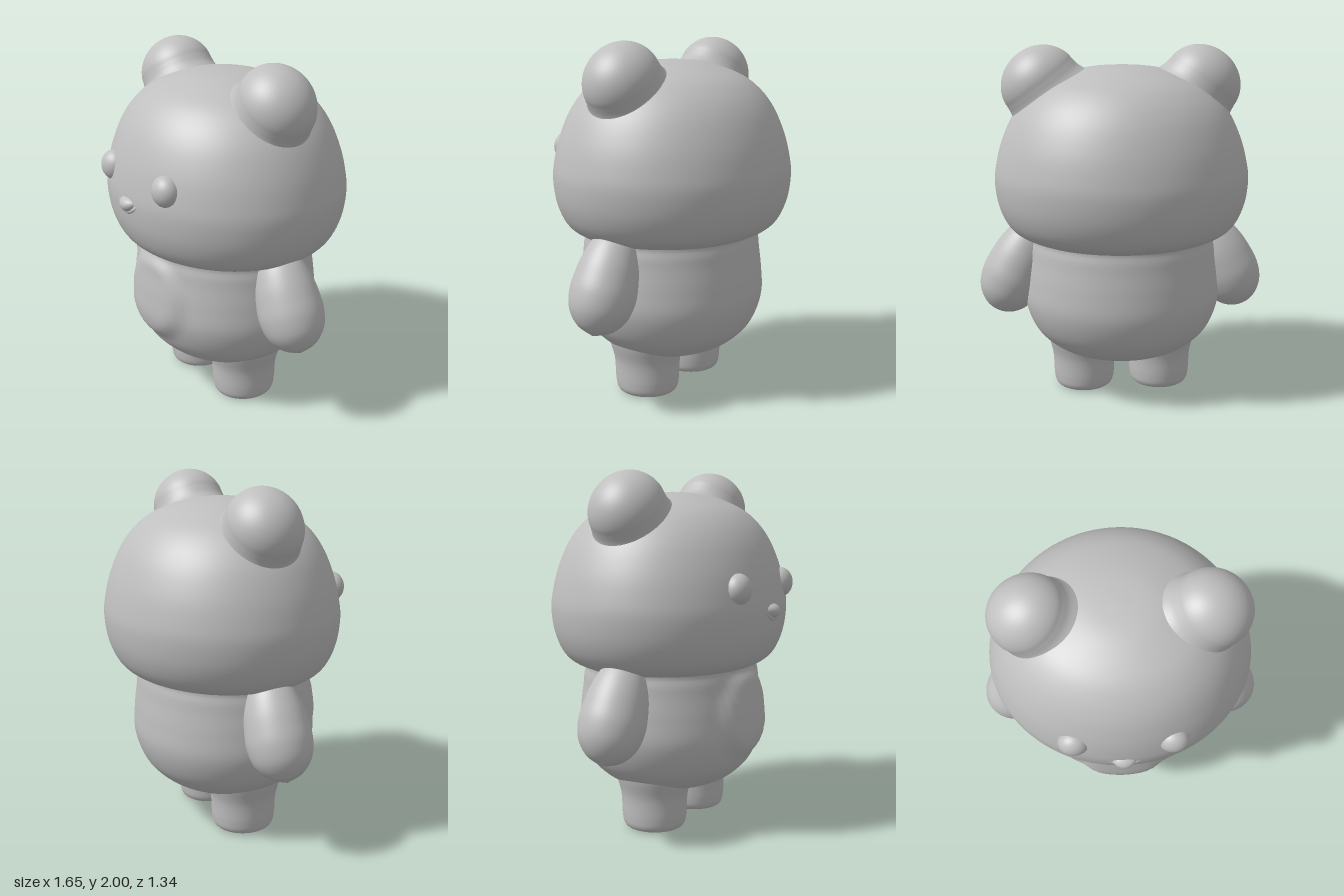
import * as THREE from 'three';
import { mergeVertices } from 'three/addons/utils/BufferGeometryUtils.js';

// Smooth solid of revolution; profile runs bottom to top, rule bends each vertex.
function turned(profile, rule, steps = 64) {
  const curve = new THREE.SplineCurve(profile.map(([r, y]) => new THREE.Vector2(r, y)));
  const points = curve.getPoints(steps);
  points.forEach((p) => { p.x = Math.max(p.x, 0); });
  return bend(new THREE.LatheGeometry(points, 96), rule);
}

// Move vertices by a rule and rebuild seamless smooth normals.
function bend(geometry, rule) {
  const pos = geometry.attributes.position;
  const v = new THREE.Vector3();
  for (let i = 0; i < pos.count; i++) {
    v.fromBufferAttribute(pos, i);
    if (rule) rule(v);
    pos.setXYZ(i, v.x, v.y, v.z);
  }
  geometry.deleteAttribute('uv');
  geometry.deleteAttribute('normal');
  const merged = mergeVertices(geometry, 1e-4);
  merged.computeVertexNormals();
  return merged;
}

export function createModel() {
  const group = new THREE.Group();
  const grey = new THREE.MeshStandardMaterial({ color: 0xbfbfbf });
  grey.name = 'soft grey';

  function add(name, geometry, x = 0, y = 0, z = 0, tilt = 0) {
    const mesh = new THREE.Mesh(geometry, grey);
    mesh.name = name;
    mesh.position.set(x, y, z);
    mesh.rotation.z = tilt;
    group.add(mesh);
    return mesh;
  }

  // Broad, slightly flattened head
  add('head', turned([
    [0, 0.88], [0.4, 0.895], [0.54, 0.925], [0.64, 0.985], [0.7, 1.1], [0.722, 1.24],
    [0.71, 1.35], [0.675, 1.48], [0.61, 1.62], [0.52, 1.73], [0.4, 1.81], [0.2, 1.875], [0, 1.89],
  ], (v) => { v.z *= v.z > 0 ? 0.88 : 0.93; }));

  // Round body with a raised tummy patch
  add('body', turned([
    [0, 0.2], [0.2, 0.215], [0.36, 0.26], [0.47, 0.34], [0.53, 0.43], [0.565, 0.55],
    [0.56, 0.68], [0.545, 0.8], [0.53, 0.9], [0.48, 1.0], [0, 1.05],
  ], (v) => {
    const front = v.z > 0;
    v.z *= front ? 0.9 : 0.92;
    const d = Math.hypot(v.x, v.y - 0.67);
    if (front) v.z += 0.03 * (1 - THREE.MathUtils.smoothstep(d, 0.19, 0.28));
  }));

  // Ear: dome on a short flared base
  const earProfile = [[0.27, -0.1], [0.235, -0.03], [0.225, 0.02]];
  for (let i = 1; i <= 8; i++) {
    const a = (i / 8) * Math.PI / 2;
    earProfile.push([0.225 * Math.cos(a), 0.02 + 0.205 * Math.sin(a)]);
  }
  const ear = turned(earProfile, (v) => { v.z *= 0.92; });

  // Arm: narrow shoulder widening to a rounded paw
  const arm = turned([
    [0, -0.19], [0.09, -0.155], [0.155, -0.08], [0.18, 0.02], [0.175, 0.12],
    [0.157, 0.22], [0.12, 0.32], [0.06, 0.4], [0, 0.42],
  ]);

  // Leg: stubby column with a flat, rounded foot
  const leg = turned([
    [0, 0], [0.07, 0], [0.14, 0.003], [0.168, 0.025], [0.178, 0.08],
    [0.185, 0.2], [0.212, 0.31], [0.22, 0.4],
  ], (v) => { v.z *= 1.04; });

  const eye = new THREE.SphereGeometry(1, 32, 24).scale(0.085, 0.085, 0.072);

  for (const [side, s] of [['left', 1], ['right', -1]]) {
    add(side + 'Ear', ear, s * 0.443, 1.773, 0, -s * 0.64);
    add(side + 'Arm', arm, s * 0.65, 0.645, 0.01, s * 0.43);
    add(side + 'Leg', leg, s * 0.225, 0, 0.015);
    add(side + 'Eye', eye, s * 0.26, 1.385, 0.552);
  }

  // Small muzzle, narrowing downwards into a V
  add('muzzle', bend(new THREE.SphereGeometry(1, 32, 24), (v) => {
    v.x *= 0.065 + 0.025 * v.y;
    v.y *= 0.045;
    v.z *= 0.06;
  }), 0, 1.25, 0.61);

  // V-shaped mouth
  const mouthLine = new THREE.CatmullRomCurve3([
    new THREE.Vector3(-0.085, 1.255, 0.62),
    new THREE.Vector3(-0.035, 1.222, 0.63),
    new THREE.Vector3(0, 1.212, 0.633),
    new THREE.Vector3(0.035, 1.222, 0.63),
    new THREE.Vector3(0.085, 1.255, 0.62),
  ]);
  add('mouth', new THREE.TubeGeometry(mouthLine, 24, 0.013, 10));

  return group;
}
